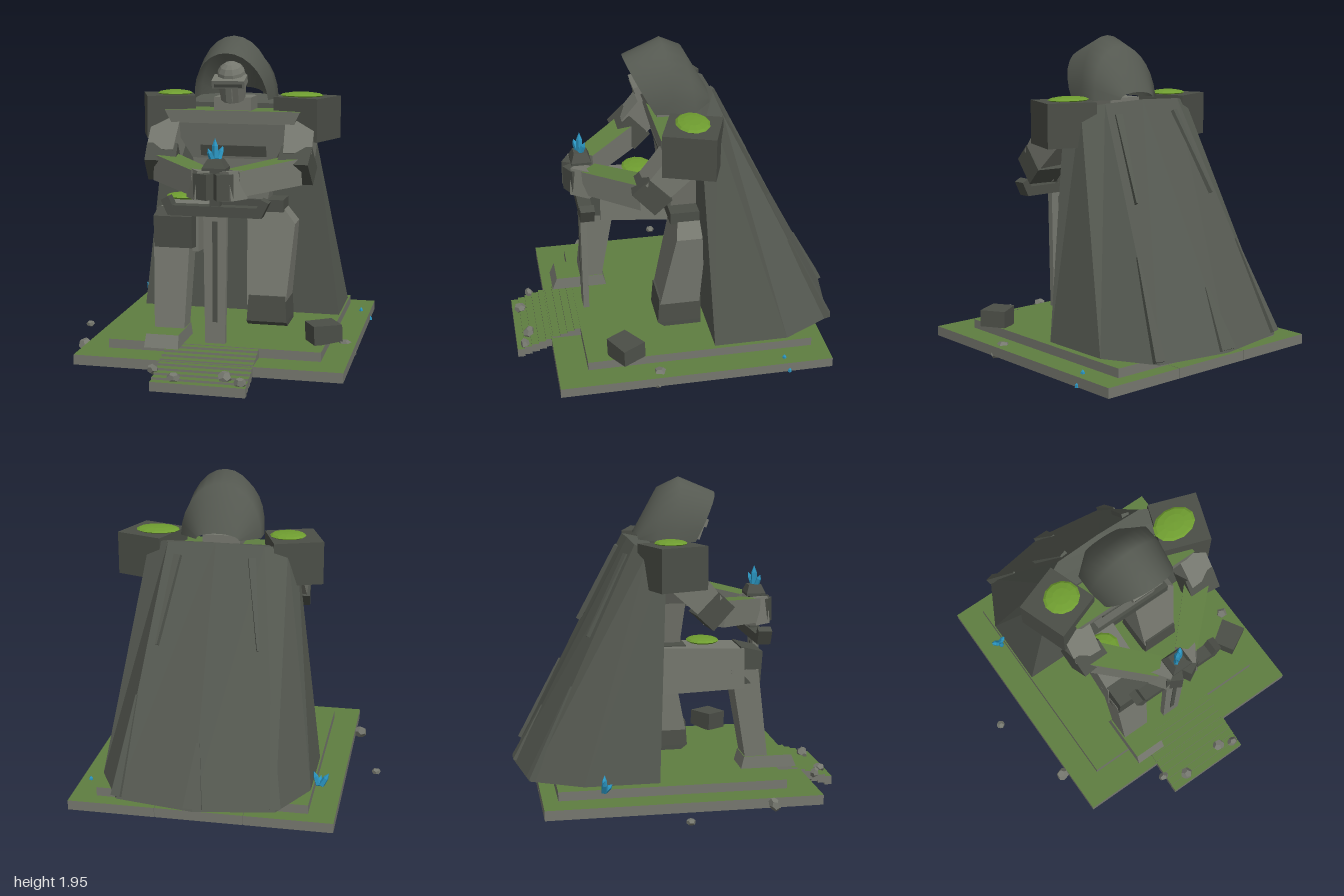
import * as THREE from 'three';

const std = (name, color, extra = {}) => {
  const m = new THREE.MeshStandardMaterial({ color, flatShading: true, ...extra });
  m.name = name;
  return m;
};

export function createModel() {
  const light = std('light stone', 0x75776e);
  const dark = std('dark stone', 0x4b4e47);
  const cloth = std('cape stone', 0x555951);
  const hoodStone = std('hood stone', 0x555951, { flatShading: false, side: THREE.DoubleSide });
  const moss = std('moss', 0x5f7e40);
  const bright = std('bright moss', 0x6f9d30);
  const crystal = std('blue crystal', 0x2a94c0);
  const CX = 0.1; // the figure's own centre line

  const root = new THREE.Group();
  root.name = 'kneelingStatue';
  const part = (name, parent = root) => {
    const g = new THREE.Group();
    g.name = name;
    parent.add(g);
    return g;
  };
  const add = (parent, name, geo, mat, pos = [0, 0, 0], rot = [0, 0, 0]) => {
    const m = new THREE.Mesh(geo, mat);
    m.name = name;
    m.position.set(...pos);
    m.rotation.set(...rot);
    parent.add(m);
    return m;
  };
  const mossy = (mat) => [mat, mat, moss, mat, mat, mat];
  const box = (parent, name, mat, size, pos, rot) => add(parent, name, new THREE.BoxGeometry(...size), mat, pos, rot);

  // tapered box running from a to b; s0 and s1 are [width, height] at each end
  const limb = (parent, name, mat, a, b, s0, s1 = s0) => {
    const A = new THREE.Vector3(...a), B = new THREE.Vector3(...b);
    const geo = new THREE.BoxGeometry(1, 1, A.distanceTo(B));
    const p = geo.attributes.position;
    for (let i = 0; i < p.count; i++) {
      const s = p.getZ(i) < 0 ? s0 : s1;
      p.setXY(i, p.getX(i) * s[0], p.getY(i) * s[1]);
    }
    geo.computeVertexNormals();
    const m = add(parent, name, geo, mat, A.clone().add(B).multiplyScalar(0.5).toArray());
    m.lookAt(B);
    return m;
  };

  // closed solid through rings (each counter-clockwise seen from above, bottom first)
  const loft = (parent, name, mat, rings) => {
    const v = [], n = rings[0].length, tri = (...pts) => pts.forEach((q) => v.push(...q));
    for (let k = 0; k + 1 < rings.length; k++) {
      for (let i = 0; i < n; i++) {
        const j = (i + 1) % n, a = rings[k], b = rings[k + 1];
        tri(a[i], a[j], b[j], a[i], b[j], b[i]);
      }
    }
    const r0 = rings[0], r1 = rings[rings.length - 1];
    for (let i = 1; i < n - 1; i++) tri(r0[0], r0[i + 1], r0[i]);
    const split = v.length / 3;
    for (let i = 1; i < n - 1; i++) tri(r1[0], r1[i], r1[i + 1]);
    const geo = new THREE.BufferGeometry();
    geo.setAttribute('position', new THREE.Float32BufferAttribute(v, 3));
    geo.addGroup(0, split, 0);
    geo.addGroup(split, v.length / 3 - split, 1);
    geo.computeVertexNormals();
    return add(parent, name, geo, Array.isArray(mat) ? mat : [mat, mat]);
  };
  const rect = (x0, x1, y, z0, z1) => [[x1, y, z1], [x1, y, z0], [x0, y, z0], [x0, y, z1]];

  // plinth of planks, upper slab and steps
  const base = part('base');
  for (let i = 0; i < 3; i++) {
    box(base, 'lowerSlab', mossy(light), [0.527, 0.06, 1.655], [-0.435 + i * 0.53, 0.085, -0.04]);
  }
  box(base, 'upperSlab', mossy(light), [1.275, 0.055, 1.38], [0.098, 0.1425, -0.085]);
  for (let i = 0; i < 9; i++) {
    box(base, 'step', mossy(light), [0.55, 0.055, 0.046], [0.098, 0.138 - i * 0.0138, 0.621 + i * 0.0445]);
  }

  // cape: a flared solid with raised folds
  const cape = part('cape');
  const hem = [[0.635, 0.19, -0.17], [0.635, 0.19, -0.62], [0.47, 0.19, -0.93], [0, 0.185, -1]];
  const collar = [[0.46, 1.53, -0.1], [0.42, 1.55, -0.2], [0.29, 1.57, -0.265], [0, 1.58, -0.27]];
  const ring = (half) => [
    ...half.map(([x, y, z]) => [CX + x, y, z]),
    ...half.slice(0, 3).reverse().map(([x, y, z]) => [CX - x, y, z])];
  loft(cape, 'capeBody', cloth, [ring(hem), ring(collar)]);
  const onCape = (i, t, s) => {
    const q = collar[i].map((c, k) => c + (hem[i][k] - c) * t);
    return [CX + s * q[0], q[1], q[2]];
  };
  for (const s of [-1, 1]) {
    limb(cape, 'upperFold', cloth, [CX + s * 0.22, 1.5, -0.3], [CX + s * 0.3, 1.02, -0.55], [0.045, 0.04], [0.012, 0.03]);
    limb(cape, 'cornerFold', cloth, onCape(2, 0.6, s), onCape(2, 0.99, s), [0.01, 0.02], [0.06, 0.04]);
  }
  limb(cape, 'centreFold', cloth, onCape(3, 0.75, 1), onCape(3, 0.99, 1), [0.02, 0.01], [0.11, 0.03]);

  // torso
  const torso = part('torso');
  loft(torso, 'chest', [light, moss], [
    rect(-0.1, 0.3, 0.9, -0.14, 0.02), rect(-0.16, 0.36, 1.2, -0.15, 0.05),
    rect(-0.28, 0.48, 1.42, -0.18, 0.11), rect(-0.32, 0.52, 1.5, -0.18, 0.12)]);
  box(torso, 'chestGroove', dark, [0.41, 0.07, 0.008], [CX, 1.25, 0.065], [0.266, 0, 0]);
  box(torso, 'belt', dark, [0.62, 0.075, 0.18], [CX, 0.912, -0.045]);
  box(torso, 'neck', light, [0.23, 0.1, 0.2], [CX, 1.53, -0.01]);

  // hood: arches swept from the face opening to the nape
  const head = part('head');
  const arches = [ // half width, base y, base z, apex y, apex z
    [0.225, 1.57, 0.12, 1.855, 0.275], [0.245, 1.57, 0.0, 1.95, 0.05],
    [0.245, 1.575, -0.12, 1.89, -0.075], [0.13, 1.58, -0.22, 1.62, -0.225]];
  const hv = [], hi = [], N = 14;
  arches.forEach(([w, y0, z0, y1, z1], k) => {
    for (let i = 0; i <= N; i++) {
      const t = (Math.PI * i) / N, h = Math.sin(t);
      hv.push(CX + w * Math.cos(t), y0 + (y1 - y0) * h, z0 + (z1 - z0) * h);
      if (k < 3 && i < N) {
        const a = k * (N + 1) + i, b = a + N + 1;
        hi.push(a, b, b + 1, a, b + 1, a + 1);
      }
    }
  });
  const hoodGeo = new THREE.BufferGeometry();
  hoodGeo.setAttribute('position', new THREE.Float32BufferAttribute(hv, 3));
  hoodGeo.setIndex(hi);
  hoodGeo.computeVertexNormals();
  add(head, 'hood', hoodGeo, hoodStone);

  // masked face looking down
  const face = part('face', head);
  face.position.set(CX, 1.66, 0.1);
  face.rotation.x = 0.35;
  add(face, 'helm', new THREE.CylinderGeometry(0.09, 0.075, 0.15, 10), light, [0, -0.02, 0]);
  add(face, 'helmCrown', new THREE.SphereGeometry(0.09, 10, 4, 0, Math.PI * 2, 0, Math.PI / 2), light, [0, 0.055, 0]);
  box(face, 'visorBand', light, [0.2, 0.05, 0.1], [0, 0.045, 0.06]);
  box(face, 'visorSlit', dark, [0.17, 0.02, 0.008], [0, 0.04, 0.111]);
  box(face, 'noseGuard', light, [0.035, 0.1, 0.03], [0, -0.02, 0.1]);

  // arms, mirrored, with hands folded on the hilt
  for (const s of [-1, 1]) {
    const arm = part(s > 0 ? 'leftArm' : 'rightArm');
    const P = (dx, y, z) => [CX + s * dx, y, z];
    box(arm, 'pauldron', dark, [0.3, 0.26, 0.31], P(0.435, 1.452, -0.06), [0, -s * 0.34, 0]);
    const r = s > 0 ? 0.135 : 0.11;
    add(arm, 'shoulderMoss', new THREE.SphereGeometry(1, 12, 6), bright, P(0.4, 1.588, -0.065)).scale.set(r, 0.02, 0.1);
    limb(arm, 'upperArm', light, P(0.41, 1.42, -0.03), P(0.42, 1.21, 0.17), [0.18, 0.22], [0.17, 0.17]);
    limb(arm, 'elbow', dark, P(0.42, 1.235, 0.13), P(0.41, 1.14, 0.23), [0.19, 0.19]);
    limb(arm, 'forearm', mossy(light), P(0.4, 1.16, 0.2), P(0.1, 1.12, 0.5), [0.15, 0.16], [0.13, 0.15]);
    box(arm, 'hand', light, [0.09, 0.17, 0.13], P(0.1, 1.11, 0.535), [0, -s * 0.6, s * 0.12]);
    box(arm, 'fingers', dark, [0.1, 0.15, 0.06], P(0.06, 1.11, 0.6), [0, s * 0.5, 0]);
  }

  // raised right leg
  const rightLeg = part('rightLeg');
  limb(rightLeg, 'thigh', light, [-0.13, 0.8, -0.12], [-0.165, 0.81, 0.4], [0.25, 0.29], [0.26, 0.25]);
  limb(rightLeg, 'kneeCap', dark, [-0.17, 0.825, 0.36], [-0.17, 0.815, 0.5], [0.24, 0.24], [0.23, 0.19]);
  loft(rightLeg, 'shin', light, [rect(-0.27, -0.09, 0.22, 0.41, 0.55), rect(-0.29, -0.07, 0.8, 0.31, 0.48)]);
  loft(rightLeg, 'foot', [light, moss], [rect(-0.285, -0.08, 0.17, 0.38, 0.73), rect(-0.28, -0.085, 0.245, 0.4, 0.7)]);
  add(rightLeg, 'kneeMoss', new THREE.SphereGeometry(1, 12, 6), bright, [-0.18, 0.975, 0.15]).scale.set(0.12, 0.02, 0.1);

  // kneeling left leg
  const leftLeg = part('leftLeg');
  loft(leftLeg, 'thigh', light, [
    rect(0.2, 0.44, 0.3, -0.13, 0.12), rect(0.18, 0.48, 0.8, -0.16, 0.02), rect(0.17, 0.4, 0.9, -0.16, 0.0)]);
  loft(leftLeg, 'knee', dark, [
    rect(0.2, 0.45, 0.17, -0.14, 0.09), rect(0.2, 0.45, 0.2, -0.14, 0.13), rect(0.21, 0.44, 0.36, -0.14, 0.12)]);

  // crystal prism helper: base point, length, radius, tilt
  const spike = (parent, pos, len, r, rx, rz) => {
    const pts = [[0, 0], [r, len * 0.1], [r * 0.85, len * 0.65], [0, len]].map((q) => new THREE.Vector2(...q));
    add(parent, 'crystal', new THREE.LatheGeometry(pts, 5), crystal, pos, [rx, 0, rz]);
  };

  // sword standing point down
  const sword = part('sword');
  sword.position.set(CX, 0, 0.54);
  loft(sword, 'blade', light, [rect(-0.06, 0.06, 0.17, -0.018, 0.018), rect(-0.07, 0.07, 0.94, -0.02, 0.02)]);
  for (const s of [-1, 1]) {
    box(sword, 'fuller', dark, [0.03, 0.6, 0.006], [0, 0.6, s * 0.021]);
    box(sword, 'guardTip', dark, [0.05, 0.1, 0.085], [s * 0.275, 0.985, 0], [0, 0, -s * 0.45]);
  }
  box(sword, 'guard', dark, [0.53, 0.06, 0.08], [0, 0.96, 0]);
  box(sword, 'grip', dark, [0.06, 0.24, 0.06], [0, 1.1, 0]);
  loft(sword, 'pommel', dark, [
    rect(-0.07, 0.07, 1.2, -0.06, 0.06), rect(-0.07, 0.07, 1.215, -0.06, 0.06), rect(-0.04, 0.04, 1.265, -0.04, 0.04)]);
  spike(sword, [0, 1.255, 0], 0.13, 0.022, 0, 0.03);
  spike(sword, [0.015, 1.255, 0], 0.09, 0.018, -0.35, -0.25);
  spike(sword, [-0.015, 1.255, 0.01], 0.08, 0.018, 0.3, 0.3);

  // ground crystals
  const shards = part('groundCrystals');
  spike(shards, [-0.58, 0.165, -0.51], 0.1, 0.02, 0, 0.5);
  spike(shards, [-0.57, 0.165, -0.51], 0.1, 0.018, 0.1, -0.35);
  spike(shards, [-0.57, 0.165, -0.51], 0.07, 0.018, 0.8, 0.1);
  spike(shards, [0.83, 0.1, -0.58], 0.04, 0.014, 0, 0);
  spike(shards, [0.89, 0.05, -0.6], 0.03, 0.012, 0, 0);

  // loose rocks
  const rocks = part('rocks');
  limb(rocks, 'fallenBlock', dark, [0.64, 0.225, 0.42], [0.79, 0.235, 0.33], [0.14, 0.12], [0.16, 0.1]);
  const pebbles = [
    [-0.88, 0.065, -0.05, 0.028], [-0.73, 0.085, 0.48, 0.045], [-0.19, 0.09, 0.88, 0.035], [-0.05, 0.075, 0.95, 0.04],
    [0.24, 0.085, 0.92, 0.042], [0.335, 0.065, 0.95, 0.038], [0.82, 0.1, 0.18, 0.045], [0.86, 0.06, 0.2, 0.035]];
  pebbles.forEach(([x, y, z, r], i) => {
    add(rocks, 'pebble', new THREE.DodecahedronGeometry(r), light, [x, y, z], [i, i * 2, 0]).scale.y = 0.75;
  });
  return root;
}
